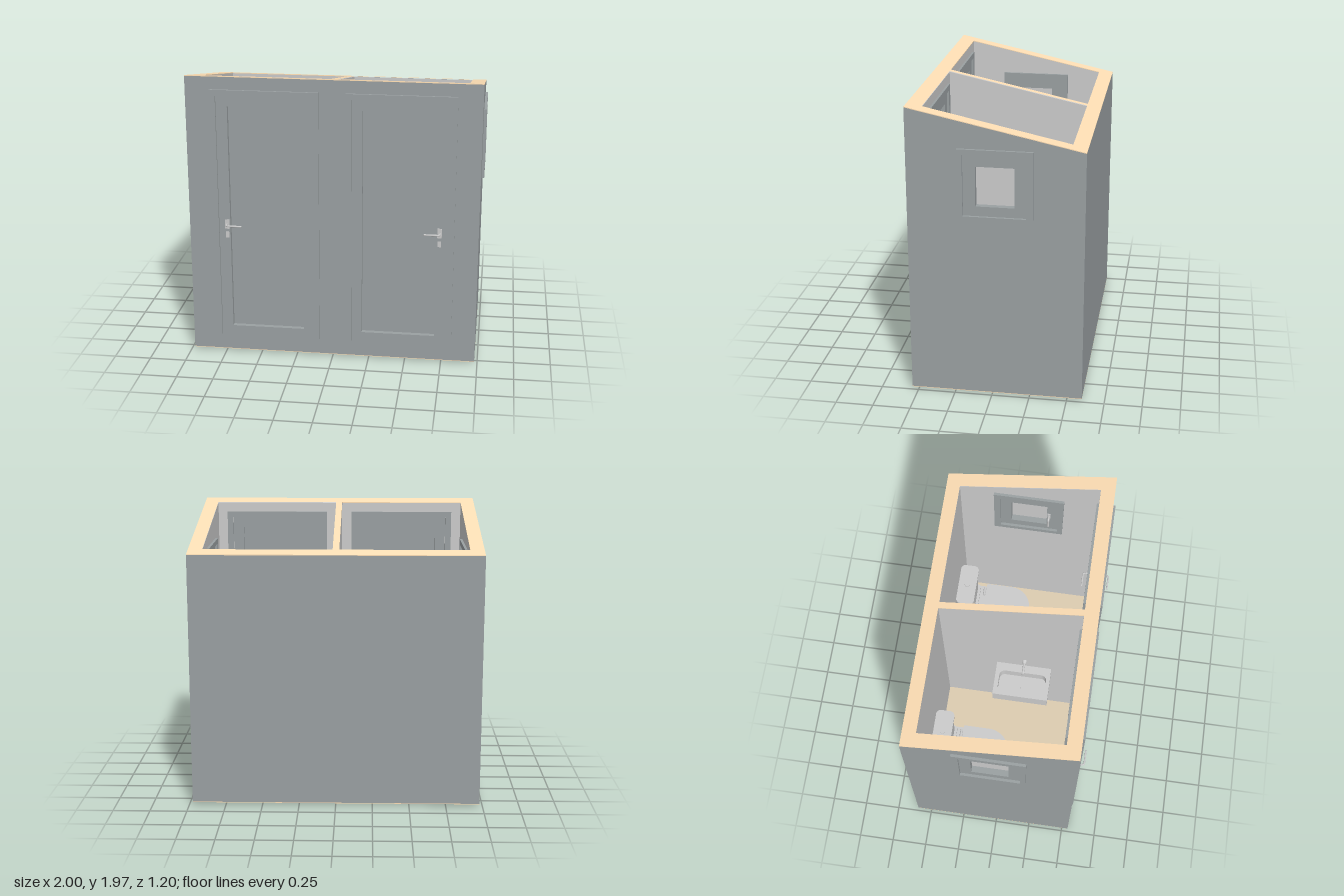
import * as THREE from 'three';
import { toCreasedNormals } from 'three/addons/utils/BufferGeometryUtils.js';

const mat = (color) => new THREE.MeshStandardMaterial({ color });
const GREY = mat(0xcccccc), PAINT = mat(0x9aa0a2), TIMBER = mat(0xffdfb5), FLOOR = mat(0xdcccb0);

// Overall plan: X half width, Z back/front, T wall thickness, P half partition
const X = 0.98, ZB = -0.6, ZF = 0.545, T = 0.095, P = 0.022, H = T / 2;
const XI = X - T, ZBI = ZB + T, ZFI = ZF - T;
const TOP = 3; // marker height, replaced by the roof slope
const roof = (z) => 1.97 + (z - ZF) * 0.214;

function add(parent, name, geo, material, x = 0, y = 0, z = 0) {
  const m = new THREE.Mesh(geo, material);
  m.name = name;
  m.position.set(x, y, z);
  parent.add(m);
  return m;
}

function rect(x0, y0, x1, y1, Type = THREE.Shape) {
  return new Type([[x0, y0], [x1, y0], [x1, y1], [x0, y1]].map(([x, y]) => new THREE.Vector2(x, y)));
}

function roundRect(x0, y0, x1, y1, r) {
  const s = new THREE.Shape();
  s.absarc(x1 - r, y0 + r, r, -Math.PI / 2, 0);
  s.absarc(x1 - r, y1 - r, r, 0, Math.PI / 2);
  s.absarc(x0 + r, y1 - r, r, Math.PI / 2, Math.PI);
  s.absarc(x0 + r, y0 + r, r, Math.PI, Math.PI * 1.5);
  return s;
}

function extrude(shape, depth, holes = [], opts = {}) {
  shape.holes.push(...holes);
  return new THREE.ExtrudeGeometry(shape, { depth, bevelEnabled: false, curveSegments: 10, ...opts });
}

// Bring every marked top vertex onto the sloping roof line
function slope(geo, drop = 0.005) {
  const p = geo.attributes.position;
  for (let i = 0; i < p.count; i++) if (p.getY(i) > 2.5) p.setY(i, roof(p.getZ(i)) - drop + p.getY(i) - TOP);
  geo.computeVertexNormals();
  return geo;
}

// Panel in the x-y plane, from z0 towards +z
const facing = (shape, z0, depth, holes) => slope(extrude(shape, depth, holes).translate(0, 0, z0));
// Panel in the z-y plane, from x1 towards -x
const sideways = (shape, x1, depth, holes) => slope(extrude(shape, depth, holes).rotateY(-Math.PI / 2).translate(x1, 0, 0));
// Plan shape (x, -z) raised upwards, smoothed round its curves
const upright = (shape, h, holes, opts) => toCreasedNormals(extrude(shape, h, holes, opts).rotateX(-Math.PI / 2), 0.6);

function tube(points, r) {
  const curve = new THREE.CatmullRomCurve3(points.map((p) => new THREE.Vector3(...p)), false, 'catmullrom', 0.2);
  return new THREE.TubeGeometry(curve, 24, r, 10, false);
}

function addWalls(g) {
  const door = () => rect(0.13, 0.125, 0.775, 1.84, THREE.Path);
  const opening = () => rect(-0.225, 1.27, 0.18, 1.68, THREE.Path);
  const y0 = 0.014;
  add(g, 'frontWallOutside', facing(rect(0, y0, X, TOP), ZF - H, H, [door()]), PAINT);
  add(g, 'frontWallInside', facing(rect(0, y0, X - H, TOP), ZFI, H, [door()]), GREY);
  add(g, 'backWallOutside', facing(rect(0, y0, X, TOP), ZB, H), PAINT);
  add(g, 'backWallInside', facing(rect(0, y0, X - H, TOP), ZB + H, H), GREY);
  add(g, 'sideWallOutside', sideways(rect(ZB + H, y0, ZF - H, TOP), X, H, [opening()]), PAINT);
  add(g, 'sideWallInside', sideways(rect(ZBI, y0, ZFI, TOP), X - H, H, [opening()]), GREY);
  add(g, 'partition', sideways(rect(ZBI, y0, ZFI, TOP), P, P), GREY);
}

function addDoor(g) {
  const door = new THREE.Group();
  door.name = 'door';
  g.add(door);
  add(door, 'doorLeaf', facing(rect(0.13, 0.125, 0.775, 1.84), ZFI, T, [rect(0.2, 0.19, 0.7, 1.765, THREE.Path)]), PAINT);
  add(door, 'doorPanel', new THREE.BoxGeometry(0.5, 1.575, 0.03), PAINT, 0.45, 0.9775, ZFI + H);
  for (const [z, s] of [[ZF, 1], [ZFI, -1]]) {
    // Casing: two uprights and a head
    const zc = z + s * 0.0075;
    add(door, 'doorCasing', new THREE.BoxGeometry(0.04, 1.755, 0.015), PAINT, 0.11, 1.0025, zc);
    add(door, 'doorCasing', new THREE.BoxGeometry(0.042, 1.755, 0.015), PAINT, 0.797, 1.0025, zc);
    add(door, 'doorCasing', new THREE.BoxGeometry(0.646, 0.04, 0.015), PAINT, 0.453, 1.86, zc);
    // Lever handle and key plate
    add(door, 'handlePlate', new THREE.BoxGeometry(0.03, 0.065, 0.008), GREY, 0.72, 0.943, z + s * 0.004);
    add(door, 'keyPlate', new THREE.BoxGeometry(0.024, 0.04, 0.006), GREY, 0.72, 0.866, z + s * 0.003);
    const zl = z + s * 0.045;
    add(door, 'handleLever', tube([[0.722, 0.943, z], [0.722, 0.943, z + s * 0.032], [0.712, 0.943, zl], [0.62, 0.943, zl]], 0.006), GREY);
    add(door, 'handleLeverEnd', new THREE.SphereGeometry(0.006, 10, 8), GREY, 0.62, 0.943, zl);
  }
}

function addWindow(g) {
  const win = new THREE.Group();
  win.name = 'window';
  g.add(win);
  const sashHole = rect(-0.15, 1.335, 0.1, 1.6, THREE.Path);
  add(win, 'windowSash', sideways(rect(-0.225, 1.27, 0.18, 1.68), X, T, [sashHole]), PAINT);
  add(win, 'windowPane', new THREE.BoxGeometry(0.012, 0.265, 0.25), GREY, X - H, 1.4675, -0.025);
  for (const x of [X + 0.018, XI]) {
    const hole = rect(-0.225, 1.27, 0.18, 1.68, THREE.Path);
    add(win, 'windowCasing', sideways(rect(-0.27, 1.235, 0.215, 1.715), x, 0.018, [hole]), PAINT);
  }
  // Inside catch
  add(win, 'catchPlate', new THREE.BoxGeometry(0.006, 0.06, 0.022), GREY, XI - 0.003, 1.47, 0.115);
  add(win, 'catchLever', tube([[XI, 1.47, 0.115], [XI - 0.03, 1.47, 0.115], [XI - 0.036, 1.46, 0.115], [XI - 0.036, 1.38, 0.115]], 0.007), GREY);
}

function addToilet(g) {
  const t = new THREE.Group();
  t.name = 'toilet';
  t.position.set(0.575, 0.12, 0);
  g.add(t);
  // Straight sides at the back, half ellipse at the front
  const outline = (w = 0.153, back = 0.32) => {
    const s = new THREE.Shape();
    s.moveTo(w, back);
    s.lineTo(-w, back);
    s.lineTo(-w, 0.13);
    s.absellipse(0, 0.13, w, w + 0.005, Math.PI, Math.PI * 2);
    return s;
  };
  // Bowl, narrowing to the foot
  const bowl = extrude(outline(0.145, 0.38), 0.33, [], { steps: 8 }).rotateX(-Math.PI / 2);
  const p = bowl.attributes.position;
  for (let i = 0; i < p.count; i++) {
    const k = 0.6 + 0.4 * THREE.MathUtils.smoothstep(p.getY(i), 0.08, 0.3);
    p.setX(i, p.getX(i) * k);
    p.setZ(i, -0.38 + (p.getZ(i) + 0.38) * k);
  }
  add(t, 'toiletBowl', toCreasedNormals(bowl, 0.6), GREY);
  add(t, 'toiletSeat', upright(outline(), 0.018), GREY, 0, 0.333);
  add(t, 'toiletLid', upright(outline(0.151, 0.31), 0.016), GREY, 0, 0.354);
  for (const s of [-1, 1])
    add(t, 'seatHinge', new THREE.CylinderGeometry(0.01, 0.01, 0.06, 12).rotateZ(Math.PI / 2), GREY, s * 0.09, 0.36, -0.33);
  // Shelf, cistern, lid and flush button
  add(t, 'cisternShelf', upright(roundRect(-0.147, 0.365, 0.147, 0.505, 0.03), 0.06), GREY, 0, 0.29);
  add(t, 'cistern', upright(roundRect(-0.145, 0.385, 0.145, 0.505, 0.03), 0.29), GREY, 0, 0.35);
  add(t, 'cisternLid', upright(roundRect(-0.155, 0.372, 0.155, 0.506, 0.035), 0.025), GREY, 0, 0.64);
  add(t, 'flushButton', new THREE.CylinderGeometry(0.02, 0.02, 0.012, 20), GREY, 0, 0.669, -0.44);
}

function addSink(g) {
  const s = new THREE.Group();
  s.name = 'sink';
  g.add(s);
  const y = 0.74;
  add(s, 'sinkBasin', upright(rect(P, -0.27, 0.265, 0.125), 0.11, [roundRect(0.08, -0.245, 0.24, 0.095, 0.04)]), GREY, 0, y);
  add(s, 'sinkFloor', new THREE.BoxGeometry(0.243, 0.03, 0.395), GREY, 0.1435, y + 0.015, 0.0725);
  add(s, 'sinkDrain', new THREE.CylinderGeometry(0.014, 0.014, 0.004, 16), GREY, 0.16, y + 0.032, 0.075);
  // Wall tap
  add(s, 'tapBase', new THREE.CylinderGeometry(0.01, 0.018, 0.025, 16).rotateZ(-Math.PI / 2), GREY, P + 0.0125, 0.95, 0.075);
  add(s, 'tapSpout', tube([[P, 0.95, 0.075], [0.1, 0.95, 0.075], [0.113, 0.94, 0.075], [0.115, 0.91, 0.075]], 0.008), GREY);
}

export function createModel() {
  const model = new THREE.Group();
  model.name = 'twinToiletCabin';

  // Two mirrored cubicles
  for (const side of [1, -1]) {
    const half = new THREE.Group();
    half.name = side > 0 ? 'leftCubicle' : 'rightCubicle';
    half.scale.x = side;
    for (const build of [addWalls, addDoor, addWindow, addToilet, addSink]) build(half);
    model.add(half);
  }

  // Timber plates: sloping on top of the walls, flat beneath them
  const room = (s) => rect(s * P, -ZBI, s * XI, -ZFI, THREE.Path);
  const plan = () => rect(-X, -ZB, X, -ZF);
  const topPlate = extrude(plan(), 0.005, [room(1), room(-1)]).rotateX(-Math.PI / 2).translate(0, TOP, 0);
  add(model, 'topPlate', slope(topPlate), TIMBER);
  const basePlate = extrude(plan(), 0.004, [rect(-XI, -ZBI, XI, -ZFI, THREE.Path)]).rotateX(-Math.PI / 2);
  add(model, 'basePlate', basePlate, TIMBER, 0, 0.01);

  // Floor slab with its covering
  const depth = ZFI - ZBI, zc = (ZFI + ZBI) / 2;
  add(model, 'floorSlab', new THREE.BoxGeometry(XI * 2, 0.115, depth), PAINT, 0, 0.0575, zc);
  add(model, 'floorCovering', new THREE.BoxGeometry(XI * 2, 0.005, depth), FLOOR, 0, 0.1175, zc);
  return model;
}
